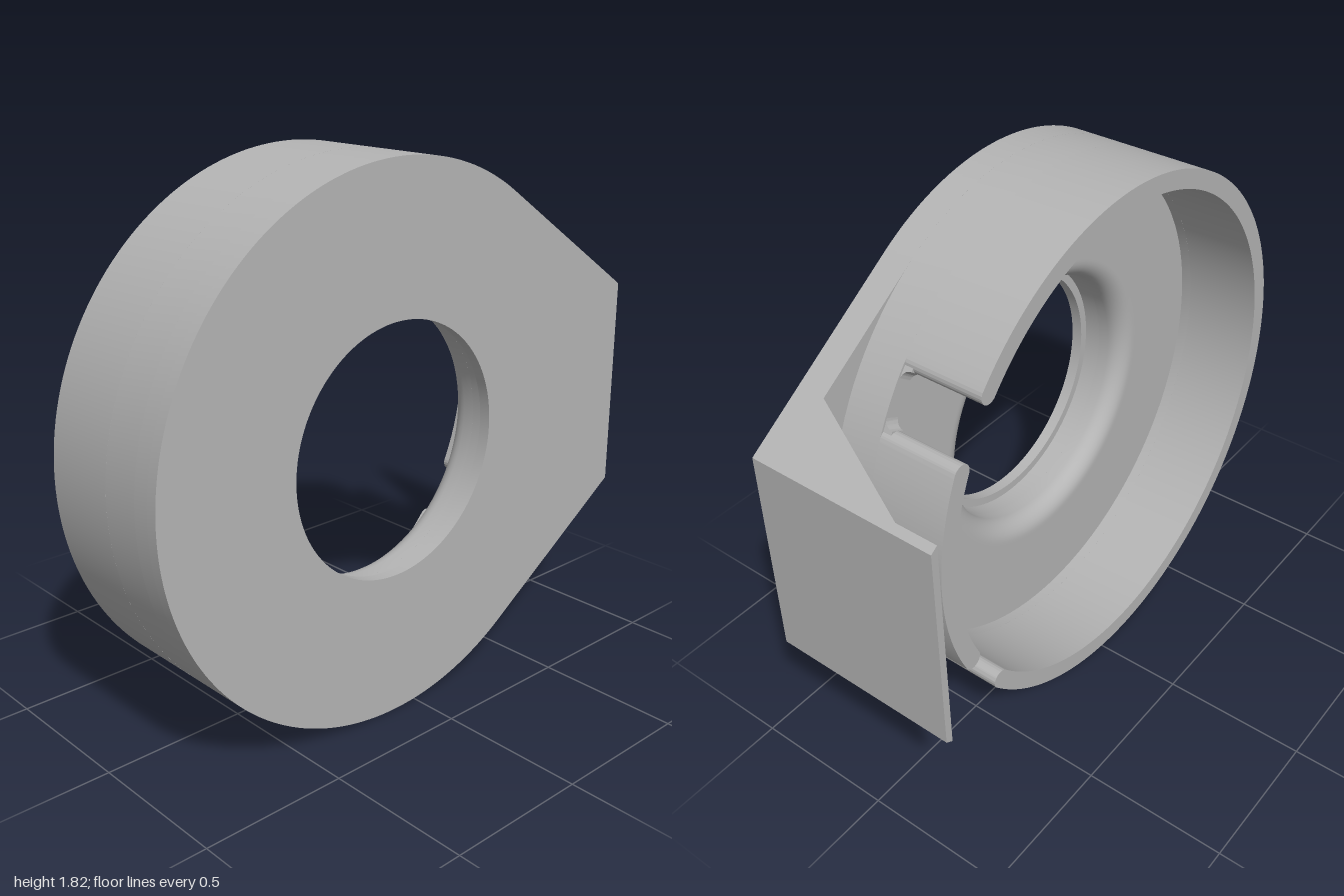
import * as THREE from 'three';
import { toCreasedNormals } from 'three/addons/utils/BufferGeometryUtils.js';

const CX = -0.09, CY = 0.915;        // centre of the round housing
const R = 0.912, R_IN = 0.847;       // wall radii
const FRONT = 0.33, LIP = 0.29, LEDGE = 0.23;   // front face, lip back, flange back
const FLOOR = 0.125, SLOT = 0.088, BACK = -0.19; // inner floor, slot bottom, rim
const BORE = 0.45, HOLE = 0.42;      // bore and front lip radii
const HALF = 0.37;                   // half height of the end plate at x = 1
const rad = THREE.MathUtils.degToRad;

export function createModel() {
  const group = new THREE.Group();
  const gray = new THREE.MeshStandardMaterial({ color: 0xb4b4b4 });
  gray.name = 'gray';

  const add = (name, geometry, z = 0) => {
    const mesh = new THREE.Mesh(toCreasedNormals(geometry, rad(28)), gray);
    mesh.name = name;
    mesh.position.set(CX, CY, z);
    group.add(mesh);
  };
  const extrude = (shape, depth) =>
    new THREE.ExtrudeGeometry(shape, { depth, bevelEnabled: false, curveSegments: 72 });

  // Disc behind the flange: rounded bore mouth, floor and foot of the wall
  const fillet = 0.065;
  const profile = [];
  for (let i = 0; i <= 8; i++) {
    const a = (i / 8) * Math.PI / 2;
    profile.push([BORE + fillet * (1 - Math.cos(a)), FLOOR + fillet * (1 - Math.sin(a))]);
  }
  profile.push([BORE + fillet + 0.01, FLOOR], [R_IN, FLOOR], [R_IN, SLOT], [R, SLOT],
    [R, LEDGE], [BORE, LEDGE], profile[0]);
  const disc = new THREE.LatheGeometry(profile.map(([r, z]) => new THREE.Vector2(r, z)), 112);
  disc.rotateX(Math.PI / 2);
  add('disc', disc);

  // Flange: circle joined to the end plate by its tangents, with a lip at the hole
  const px = 1 - CX;
  const tangent = Math.atan2(HALF, px) + Math.acos(R / Math.hypot(px, HALF));
  const tx = R * Math.cos(tangent), ty = R * Math.sin(tangent);
  const slope = (ty - HALF) / (px - tx);
  const flange = (name, hole, from, to) => {
    const s = new THREE.Shape();
    s.moveTo(px, -HALF);
    s.lineTo(px, HALF);
    s.absarc(0, 0, R, tangent, 2 * Math.PI - tangent, false);
    s.closePath();
    s.holes.push(new THREE.Path().absarc(0, 0, hole, 0, 2 * Math.PI, true));
    add(name, extrude(s, to - from), from);
  };
  flange('flangeLip', HOLE, LIP, FRONT);
  flange('flange', BORE, LEDGE, LIP);

  // Curved wall pieces with rounded ends, separated by two slots
  const mid = (R + R_IN) / 2, half = (R - R_IN) / 2;
  const wall = (name, from, to) => {
    const a = rad(from), b = rad(to);
    const s = new THREE.Shape();
    s.absarc(0, 0, R, a, b, false);
    s.absarc(mid * Math.cos(b), mid * Math.sin(b), half, b, b + Math.PI, false);
    s.absarc(0, 0, R_IN, b, a, true);
    s.absarc(mid * Math.cos(a), mid * Math.sin(a), half, a + Math.PI, a + 2 * Math.PI, false);
    add(name, extrude(s, SLOT - BACK), BACK);
  };
  wall('housingWall', 40.5, 319.5);
  wall('wallTongue', -25, 25);

  // Rounded corners at the bottom of each slot
  const r = 0.03;
  const corner = new THREE.Shape();
  corner.moveTo(-r, 0);
  corner.lineTo(r, 0);
  corner.absarc(r, r, r, -Math.PI / 2, -Math.PI, true);
  corner.lineTo(-r, r);
  for (const [angle, turn] of [[38.4, -1], [27.1, 1], [-27.1, -1], [-38.4, 1]]) {
    const a = rad(angle);
    const along = new THREE.Vector3(-Math.sin(a) * turn, Math.cos(a) * turn, 0);
    const back = new THREE.Vector3(0, 0, -1);
    const across = new THREE.Vector3().crossVectors(along, back);
    const g = extrude(corner, 0.05);
    g.translate(0, 0, -0.025);
    g.applyMatrix4(new THREE.Matrix4().makeBasis(along, back, across)
      .setPosition(mid * Math.cos(a), mid * Math.sin(a), SLOT));
    add('slotCorner', g);
  }

  // Sloped rib and end plate, with top and bottom following the tangent lines
  const rib = new THREE.Shape([[0.80, LEDGE], [1, LEDGE], [1, -0.335], [0.975, -0.335], [0.975, BACK]]
    .map(([x, z]) => new THREE.Vector2(x - CX, -z)));
  const ribGeometry = extrude(rib, 1);
  ribGeometry.rotateX(-Math.PI / 2);
  const p = ribGeometry.attributes.position;
  for (let i = 0; i < p.count; i++) {
    const h = HALF + (px - p.getX(i)) * slope;
    p.setY(i, p.getY(i) > 0.5 ? h : -h);
  }
  add('endPlateRib', ribGeometry);

  return group;
}
